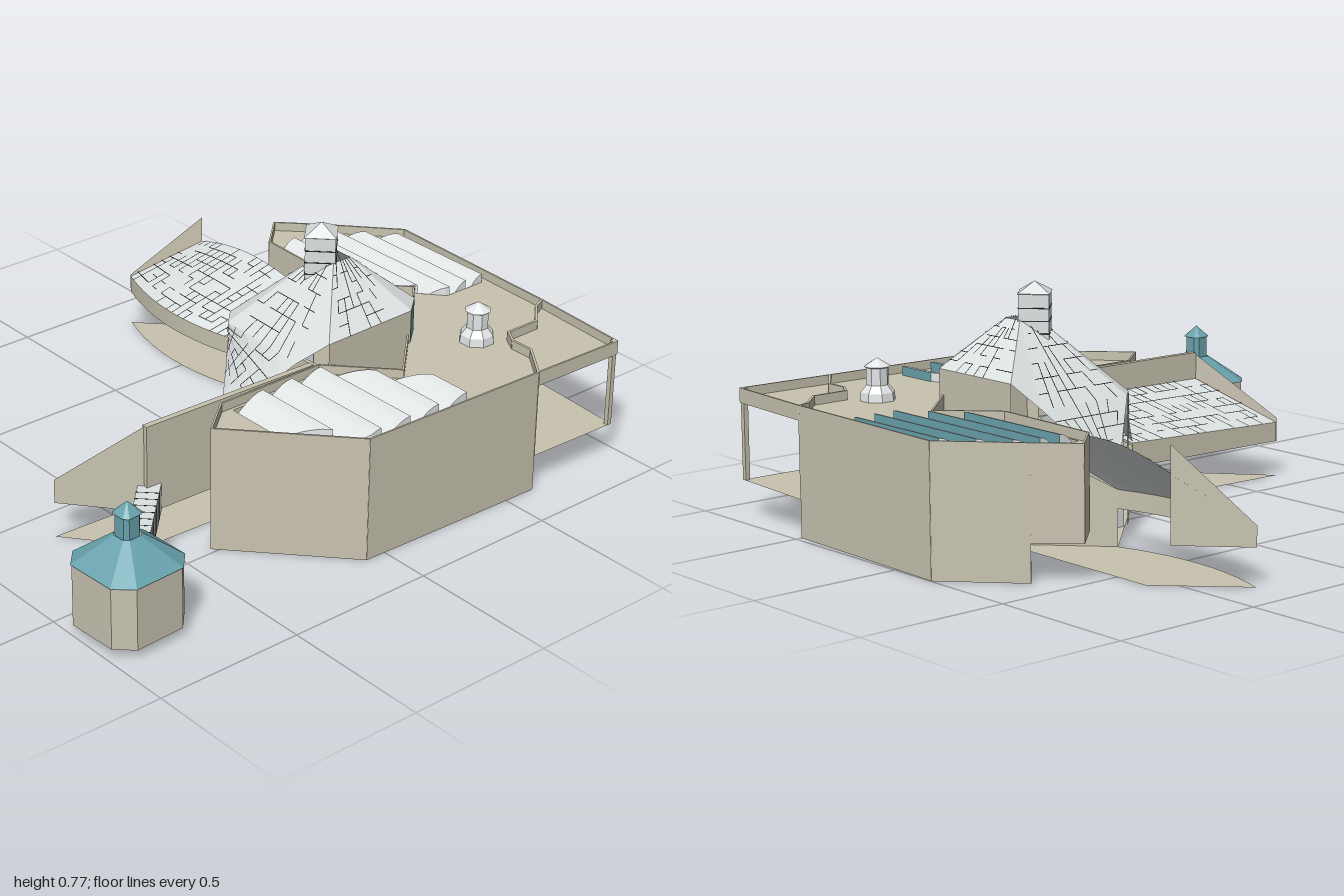
import * as THREE from 'three';

const mat = (name, color) => new THREE.MeshStandardMaterial({ name, color, side: THREE.DoubleSide });

export function createModel() {
  const root = new THREE.Group();
  const stone = mat('stone', 0xc8c3b0), shingle = mat('shingle', 0xdce1e1), teal = mat('teal', 0x68a2ac);
  const seam = mat('seam', 0x26282a), white = mat('white', 0xe4e7e8);

  const add = (name, geo, m) => {
    const mesh = new THREE.Mesh(geo, m);
    mesh.name = name;
    root.add(mesh);
    return mesh;
  };
  const V = (a) => new THREE.Vector3(...a);
  let seed = 7;
  const rnd = () => (seed = (seed * 16807) % 2147483647) / 2147483647;

  // Surface from a rule f(u, v), flat or smooth
  const sheet = (name, m, f, nu = 1, nv = 1, smooth = false) => {
    const pos = [], idx = [];
    for (let j = 0; j <= nv; j++) for (let i = 0; i <= nu; i++) pos.push(...f(i / nu, j / nv).toArray());
    for (let j = 0; j < nv; j++) for (let i = 0; i < nu; i++) {
      const a = j * (nu + 1) + i, b = a + nu + 1;
      idx.push(a, a + 1, b + 1, a, b + 1, b);
    }
    let g = new THREE.BufferGeometry();
    g.setAttribute('position', new THREE.Float32BufferAttribute(pos, 3));
    g.setIndex(idx);
    if (!smooth) g = g.toNonIndexed();
    g.computeVertexNormals();
    return add(name, g, m);
  };
  // Bilinear patch through four corners
  const quad = (a, b, c, d) => (u, v) => V(a).lerp(V(b), u).lerp(V(d).lerp(V(c), u), v);

  // Broken dark joints lying just over a shingled surface
  const joints = (name, f, nu, nv) => {
    const pos = [];
    const dash = (u0, v0, u1, v1) => {
      const a = f(u0, v0), b = f(u1, v1), e = 0.01;
      const n = f(u0 + e, v0).sub(f(u0 - e, v0)).cross(f(u0, v0 + e).sub(f(u0, v0 - e))).normalize();
      if (n.y < 0) n.negate();
      const w = b.clone().sub(a).cross(n).setLength(0.0014);
      a.addScaledVector(n, 0.003); b.addScaledVector(n, 0.003);
      const p = [a.clone().add(w), b.clone().add(w), b.clone().sub(w), a.clone().sub(w)];
      for (const k of [0, 1, 2, 0, 2, 3]) pos.push(...p[k].toArray());
    };
    for (let j = 1; j <= nv; j++) for (let i = 0; i < nu; i++) {
      const u = i / nu, v = j / nv;
      if (rnd() < 0.65 && j < nv) dash(u, v, u + 1 / nu, v);
      if (rnd() < 0.6 && i) dash(u, v - 1 / nv, u, v);
    }
    const g = new THREE.BufferGeometry();
    g.setAttribute('position', new THREE.Float32BufferAttribute(pos, 3));
    g.computeVertexNormals();
    add(name, g, seam);
  };
  // Flat polygon in plan at height y, with optional holes
  const plan = (name, m, pts, y, holes = []) => {
    const to2 = (list) => list.map(([x, z]) => new THREE.Vector2(x, -z));
    const shape = new THREE.Shape(to2(pts));
    shape.holes = holes.map((h) => new THREE.Path(to2(h)));
    add(name, new THREE.ShapeGeometry(shape).rotateX(-Math.PI / 2), m).position.y = y;
  };
  // Upright wall between two plan points
  const wall = (name, m, [x0, z0], [x1, z1], y0, y1, t = 0.012) => {
    const w = add(name, new THREE.BoxGeometry(Math.hypot(x1 - x0, z1 - z0) + t * 0.6, y1 - y0, t), m);
    w.position.set((x0 + x1) / 2, (y0 + y1) / 2, (z0 + z1) / 2);
    w.rotation.y = -Math.atan2(z1 - z0, x1 - x0);
  };

  // Skylight outlines as left and right edges, back to front
  const lights = [
    { left: [[-0.16, -0.955], [-0.355, -0.78], [-0.36, -0.59]], right: [[0.245, -0.955], [0.245, -0.8], [0, -0.59]] },
    { left: [[0.65, -0.35], [0.395, -0.125], [0.395, 0.235]], right: [[0.8, -0.35], [0.8, 0.05], [0.57, 0.235]] },
  ];
  const wells = lights.map((l) => [...l.left, ...[...l.right].reverse()]);

  // Main block: roof with skylight wells, raised floor, and perimeter walls; some reach the ground
  const outline = [[-0.385, -0.8], [-0.17, -0.995], [0.5, -0.975], [0.855, -0.95], [0.845, -0.61], [0.825, 0.07],
    [0.48, 0.39], [0.38, 0.27], [0.38, -0.12], [0.57, -0.3], [0.17, -0.72], [0.01, -0.565], [-0.39, -0.58], [-0.495, -0.69]];
  const bottoms = [0, 0, 0.37, 0.37, 0, 0, 0, 0.12, 0.12, 0.12, 0.12, 0.12, 0.12, 0.12];
  const roofY = 0.388, floorY = 0.12;
  plan('mainRoof', stone, outline, roofY, wells);
  plan('mainFloor', stone, outline, floorY);
  outline.forEach((p, i) => wall('mainWall', stone, p, outline[(i + 1) % outline.length], bottoms[i], 0.418, 0.006));

  // Corner porch: stepped back wall, windows and post
  const step = [[0.5, -0.975], [0.52, -0.93], [0.595, -0.855], [0.595, -0.73], [0.645, -0.7], [0.725, -0.7], [0.845, -0.61]];
  for (let i = 0; i < step.length - 1; i++) {
    wall('porchParapet', stone, step[i], step[i + 1], 0.37, 0.418, 0.008);
    wall('porchWall', i === 3 || i === 2 ? white : stone, step[i], step[i + 1], floorY, 0.372, 0.008);
  }
  add('porchPost', new THREE.BoxGeometry(0.016, 0.298, 0.016), stone).position.set(0.847, 0.269, -0.942);

  // Sawtooth skylights: curved white shells with teal glass on the back
  const base = 0.355;
  for (const { left, right } of lights) {
    const at = (line, z) => {
      const i = z <= line[1][1] ? 0 : 1, [xa, za] = line[i], [xb, zb] = line[i + 1];
      return xa + (xb - xa) * THREE.MathUtils.clamp((z - za) / (zb - za), 0, 1);
    };
    const z0 = left[0][1], d = (left[2][1] - z0) / 5;
    for (let k = 0; k < 5; k++) {
      const pt = (u, t) => {
        const z = z0 + (k + t) * d;
        return new THREE.Vector3(THREE.MathUtils.lerp(at(left, z), at(right, z), u), base + 0.063 * Math.cos(t * Math.PI / 2), z);
      };
      sheet('skylightShell', white, pt, 1, 6, true);
      sheet('skylightGlass', teal, (u, v) => pt(u, 0).setY(base + 0.063 * v));
      for (const s of [0, 1]) sheet('skylightEnd', white, (u, v) => {
        const p = pt(s, u);
        return p.setY(THREE.MathUtils.lerp(base, p.y, v));
      }, 6, 1);
    }
  }

  // Lathe with flat faces
  const lathe = (name, pts, n, m, x, z, turn = 0) => {
    const g = new THREE.LatheGeometry(pts.map((p) => new THREE.Vector2(...p)), n).toNonIndexed();
    g.computeVertexNormals();
    const o = add(name, g, m);
    o.position.set(x, 0, z);
    o.rotation.y = turn;
  };
  lathe('roofVent', [[0.058, roofY], [0.055, 0.415], [0.036, 0.438], [0.036, 0.492], [0.043, 0.496], [0, 0.523]], 8, white, 0.53, -0.655, Math.PI / 8);

  // Hall roof: upper slopes, steeper lower aprons and a clipped corner over the entry
  const top = (sx, sz) => [0.2 + 0.035 * sx, 0.655, -0.34 + 0.035 * sz];
  const NW = [0, 0.5, -0.55], NE = [0.35, 0.5, -0.55], EN = [0.41, 0.5, -0.48], ES = [0.405, 0.49, -0.14];
  const S0 = [-0.015, 0.42, -0.085], S1 = [0.335, 0.42, -0.07], W0 = [-0.07, 0.42, -0.14], W1 = [-0.07, 0.42, -0.485];
  const S = [0.16, 0.205, 0.09], W = [-0.24, 0.205, -0.33];
  const roof = [
    [top(-1, 1), S0, S1, top(1, 1), 6], [top(1, 1), S1, ES, top(1, 1), 0], [top(-1, -1), W1, W0, top(-1, 1), 6],
    [top(-1, -1), NW, W1, top(-1, -1), 0], [top(-1, 1), W0, S0, top(-1, 1), 0], [top(1, 1), ES, EN, top(1, -1), 6],
    [top(1, -1), EN, NE, top(1, -1), 0], [top(1, -1), NE, NW, top(-1, -1), 6],
    [S0, [-0.015, 0.33, -0.085], S, S1, 6], [W1, W, W, W0, 6],
  ];
  for (const [a, b, c, d, n] of roof) {
    const f = quad(a, b, c, d);
    sheet('hallRoof', shingle, f, 4, 4);
    if (n) joints('hallRoofJoints', f, n, 8);
  }

  // Hall walls: rear, wing ends, entry and corner window
  const low = ([x, , z], y = 0) => [x, y, z];
  sheet('hallSideWall', stone, quad(low(W), low(NW), low(NW, 0.34), low(W, 0.18)));
  sheet('hallSideWall', stone, quad(low(S, 0.1), [0.37, 0.1, -0.11], [0.37, 0.33, -0.11], low(S, 0.19)));
  sheet('hallBackWall', stone, quad(low(NW), low(NE), NE, NW));
  sheet('hallBackWall', stone, quad(low(ES), low(EN), EN, ES));
  sheet('hallCornerWindow', teal, quad(low(NE, 0.12), low(EN, 0.12), EN, NE));
  wall('hallFrontWall', stone, [-0.015, -0.12], [0.37, -0.12], 0, 0.41);
  wall('hallEntryWall', shingle, [-0.055, -0.15], [-0.055, -0.48], 0, 0.4);
  const corner = quad(low(W0, 0.19), low(S0, 0.19), S0, W0);
  sheet('hallEntryCorner', shingle, corner);
  joints('hallEntryJoints', corner, 2, 7);
  sheet('hallEntryWindow', teal, quad(low(W0, 0.12), low(S0, 0.12), low(S0, 0.19), low(W0, 0.19)));
  sheet('hallEntryBase', stone, quad(low(W0), low(S0), low(S0, 0.12), low(W0, 0.12)));

  // Chimney
  lathe('chimney', [[0.068, 0.55], [0.068, 0.735], [0.072, 0.737], [0, 0.772]], 4, shingle, 0.17, -0.31);
  for (let k = 0; k < 4; k++) {
    const c = [0, 1].map((s) => [0.17 + 0.069 * Math.sin((k + s) * Math.PI / 2), -0.31 + 0.069 * Math.cos((k + s) * Math.PI / 2)]);
    for (const y of [0.61, 0.65, 0.69]) wall('chimneyJoint', seam, c[0], c[1], y, y + 0.003, 0.002);
  }

  // Left wing: bowed front, roof rising to an arched rear edge
  const bow = (s) => 4 * s * (1 - s);
  const leftRoof = (u, v) => new THREE.Vector3(-0.86 + 0.62 * u, 0.18, -0.35 + 0.02 * u + 0.055 * bow(u))
    .lerp(new THREE.Vector3(-0.68 + 0.62 * u, 0.33 + 0.055 * bow(u), -0.52 + 0.02 * u), v);
  sheet('leftWingRoof', shingle, leftRoof, 20, 4, true);
  joints('leftWingJoints', leftRoof, 20, 9);
  sheet('leftWingFascia', stone, (u, v) => leftRoof(u, 0).setY(0.12 + 0.06 * v), 20, 1, true);
  sheet('leftWingEnd', stone, quad([-0.862, 0.12, -0.35], [-0.678, 0.12, -0.52], [-0.678, 0.42, -0.52], [-0.862, 0.185, -0.35]));

  // Right wing: straight roof, tall rear wall and sloped end wall
  const rightRoof = quad([0.155, 0.2, 0.085], [0.125, 0.185, 0.71], [0.33, 0.33, 0.53], [0.36, 0.33, -0.13]);
  sheet('rightWingRoof', shingle, rightRoof, 4, 4);
  joints('rightWingJoints', rightRoof, 20, 7);
  sheet('rightWingFascia', stone, quad([0.155, 0.12, 0.085], [0.125, 0.12, 0.71], [0.125, 0.185, 0.71], [0.155, 0.2, 0.085]));
  sheet('rightWingEnd', stone, quad([0.125, 0.12, 0.714], [0.345, 0.12, 0.532], [0.345, 0.418, 0.532], [0.125, 0.2, 0.714]));
  wall('rightWingRearWall', stone, [0.345, 0.53], [0.362, -0.1], 0.12, 0.418, 0.02);

  // Ground sheet below wings and hall
  const front = Array.from({ length: 11 }, (_, i) => [-0.86 + 0.062 * i, -0.35 + 0.002 * i + 0.055 * bow(i / 10)]);
  plan('groundSheet', stone, [...front, [0.155, 0.085], [0.125, 0.715], [0.35, 0.53], [0.375, -0.12], [0.54, -0.31],
    [0.25, -0.63], [0.18, -0.555], [0, -0.565], [-0.63, -0.57]], 0.001);

  // Covered bridge with slatted sides
  const from = [0.35, 0.525], to = [0.59, 0.765];
  wall('bridge', shingle, from, to, 0.12, 0.21, 0.07);
  for (let i = 1; i < 9; i++) {
    const t = i / 9;
    const slat = add('bridgeSlat', new THREE.BoxGeometry(0.003, 0.091, 0.073), seam);
    slat.position.set(from[0] + (to[0] - from[0]) * t, 0.165, from[1] + (to[1] - from[1]) * t);
    slat.rotation.y = -Math.PI / 4;
  }

  // Tower: chamfered square body, teal roof, lantern and cap
  const ring = (r, y, c = 0.62) => (k) => {
    const [a, b] = [[1, c], [c, 1], [-c, 1], [-1, c], [-1, -c], [-c, -1], [c, -1], [1, -c]][k % 8];
    return new THREE.Vector3(0.668 + r * (a + 0.05 * b), y, 0.853 + r * (b - 0.05 * a));
  };
  const loft = (name, m, lower, upper) => sheet(name, m, (u, v) => lower(Math.round(u * 8)).lerp(upper(Math.round(u * 8)), v), 8, 1);
  loft('towerBody', stone, ring(0.138, 0.032), ring(0.138, 0.236));
  loft('towerFloor', stone, ring(0, 0.032), ring(0.138, 0.032));
  loft('towerRoof', teal, ring(0.141, 0.236), ring(0.034, 0.322));
  loft('towerLantern', teal, ring(0.031, 0.318), ring(0.031, 0.392));
  loft('towerCap', teal, ring(0.036, 0.392), ring(0, 0.43));

  return root;
}
